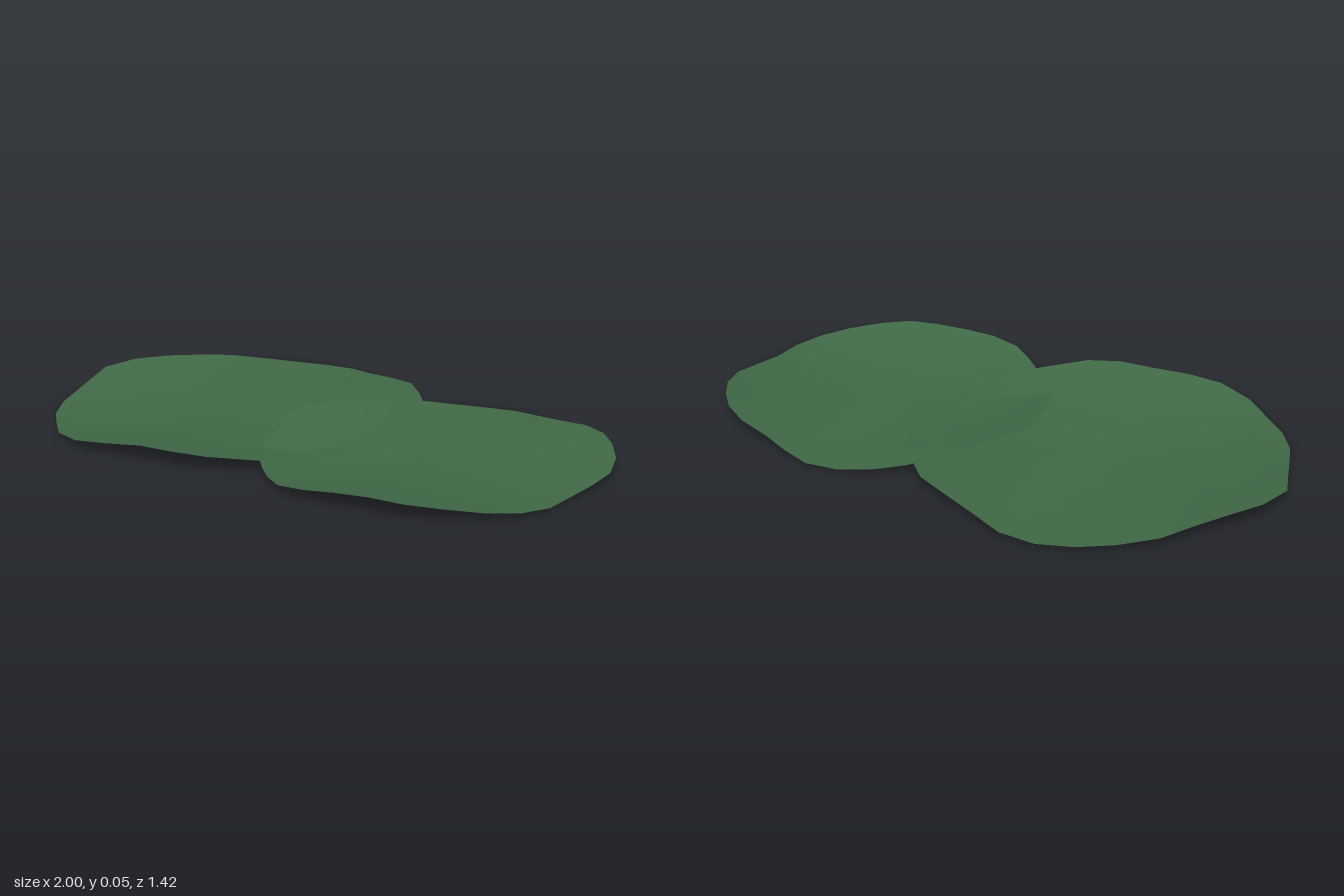
import * as THREE from 'three';

const leafGreen = new THREE.MeshStandardMaterial({ color: 0x416a47, side: THREE.DoubleSide });
leafGreen.name = 'leafGreen';

// Rim outlines as x, z pairs, clockwise from the back
const LEFT_RIM = [
  -.31, -.71, -.19, -.68, -.09, -.61, .02, -.54, .12, -.47, .19, -.36, .25, -.25, .27, -.13,
  .25, 0, .2, .1, .17, .22, .12, .35, .04, .43, -.04, .47, -.19, .54, -.31, .55,
  -.43, .53, -.56, .53, -.68, .51, -.79, .43, -.86, .33, -.93, .22, -.97, .1, -.98, -.01,
  -.99, -.14, -1, -.25, -.94, -.37, -.85, -.46, -.76, -.54, -.67, -.62, -.55, -.67, -.43, -.7,
];
const RIGHT_RIM = [
  .42, -.42, .53, -.41, .62, -.36, .71, -.3, .82, -.24, .9, -.16, .95, -.07, .99, .04,
  1, .15, .97, .25, .93, .36, .9, .47, .84, .56, .75, .63, .64, .68, .53, .71,
  .42, .7, .3, .69, .2, .68, .1, .64, .03, .56, -.03, .47, -.09, .37, -.12, .27,
  -.13, .11, -.14, .05, -.12, -.07, -.06, -.13, .02, -.21, .09, -.28, .2, -.36, .31, -.4,
];

// A thin dished leaf: rings from centre to rim, the rim rising in three waves
function lilyPad(name, cx, cz, rim) {
  const n = rim.length / 2, rings = 8;
  const pos = [cx, 0.003, cz], index = [];
  for (let r = 1; r <= rings; r++) {
    const t = r / rings;
    for (let i = 0; i < n; i++) {
      const dx = rim[2 * i] - cx, dz = rim[2 * i + 1] - cz;
      const wave = 0.03 + 0.022 * Math.cos(3 * Math.atan2(dx, dz));
      pos.push(cx + dx * t, 0.003 + wave * t ** 2.3, cz + dz * t);
    }
  }
  const at = (r, i) => 1 + (r - 1) * n + (i % n);
  for (let i = 0; i < n; i++) {
    index.push(0, at(1, i + 1), at(1, i));
    for (let r = 1; r < rings; r++) {
      const a = at(r, i), b = at(r, i + 1), c = at(r + 1, i), d = at(r + 1, i + 1);
      index.push(a, b, d, a, d, c);
    }
  }
  const geo = new THREE.BufferGeometry();
  geo.setAttribute('position', new THREE.Float32BufferAttribute(pos, 3));
  geo.setIndex(index);
  geo.computeVertexNormals();
  const mesh = new THREE.Mesh(geo, leafGreen);
  mesh.name = name;
  return mesh;
}

export function createModel() {
  const group = new THREE.Group();
  group.name = 'lilyPads';
  group.add(
    lilyPad('largeLilyPad', -0.34, -0.08, LEFT_RIM),
    lilyPad('smallLilyPad', 0.43, 0.14, RIGHT_RIM),
  );
  return group;
}
